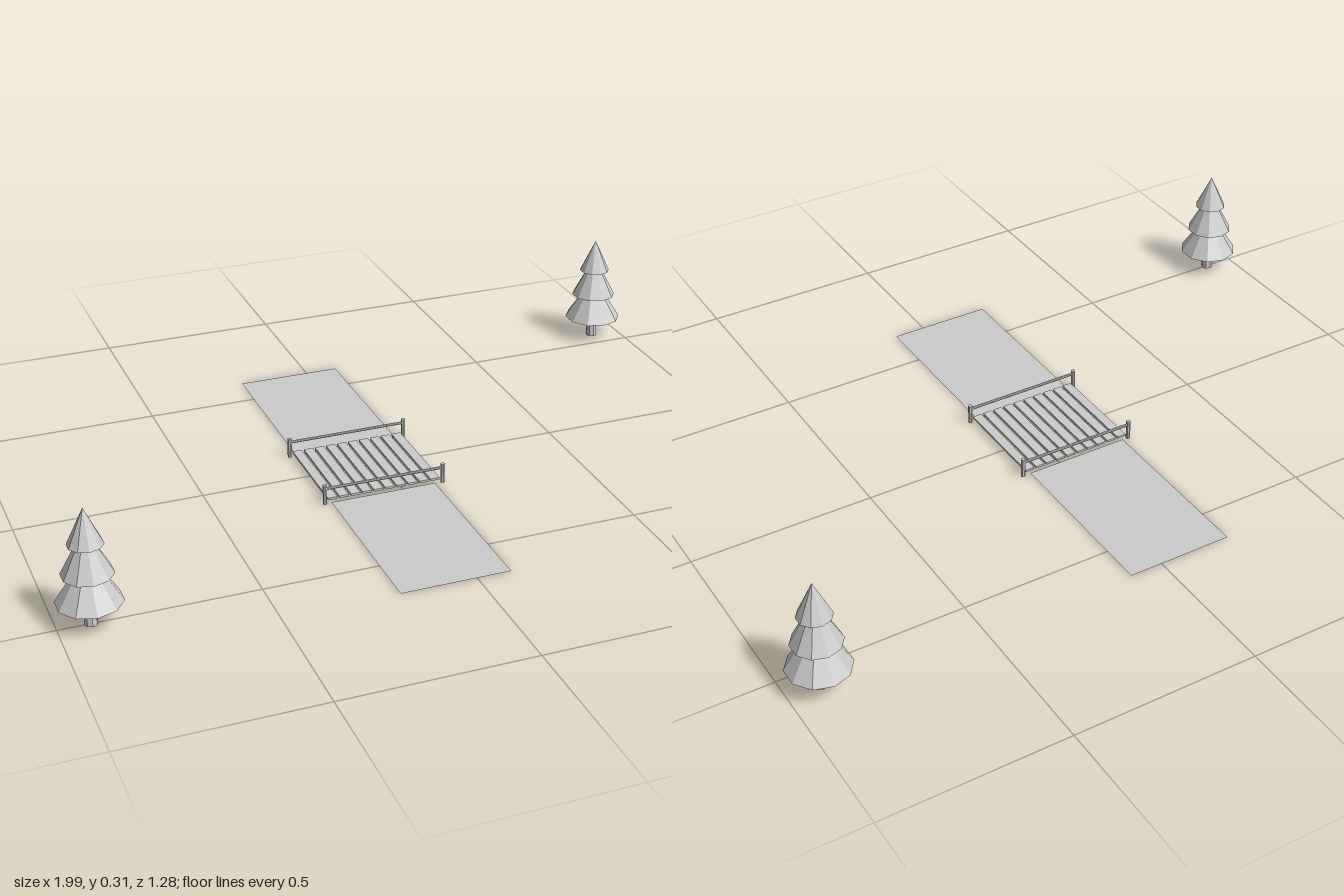
import * as THREE from 'three';

const material = new THREE.MeshStandardMaterial({ color: 0xcccccc, flatShading: true });
const thinMaterial = new THREE.MeshStandardMaterial({ color: 0xcccccc, side: THREE.DoubleSide });

function add(parent, name, geometry, x, y, z, mat = material) {
  const mesh = new THREE.Mesh(geometry, mat);
  mesh.name = name;
  mesh.position.set(x, y, z);
  parent.add(mesh);
  return mesh;
}

// Pine tree: tapered trunk and three stacked cones
function createTree(name, x, z) {
  const tree = new THREE.Group();
  tree.name = name;
  tree.position.set(x, 0, z);
  add(tree, 'trunk', new THREE.CylinderGeometry(0.013, 0.017, 0.07, 8), 0, 0.035, 0);
  const tiers = [[0.082, 0.062, 0.19], [0.064, 0.136, 0.257], [0.044, 0.214, 0.308]];
  for (const [radius, bottom, top] of tiers) {
    add(tree, 'foliage', new THREE.ConeGeometry(radius, top - bottom, 10), 0, (bottom + top) / 2, 0);
  }
  return tree;
}

// Footbridge: planks side by side, corner posts and a rail at each end
function createBridge() {
  const bridge = new THREE.Group();
  bridge.name = 'bridge';
  const left = -0.218, right = 0.112, front = 0.158, back = -0.124;
  const midX = (left + right) / 2, midZ = (front + back) / 2;

  const count = 10, pitch = (right - left - 0.01) / count;
  for (let i = 0; i < count; i++) {
    const x = left + 0.005 + pitch * (i + 0.5);
    add(bridge, 'plank', new THREE.BoxGeometry(pitch * 0.8, 0.006, front - back), x, 0.012, midZ);
  }
  for (const z of [front, back]) {
    for (const x of [left, right]) {
      add(bridge, 'post', new THREE.CylinderGeometry(0.006, 0.006, 0.055, 8), x, 0.0275, z);
    }
    const rail = add(bridge, 'rail', new THREE.CylinderGeometry(0.004, 0.004, right - left, 8), midX, 0.044, z);
    rail.rotation.z = Math.PI / 2;
  }
  return bridge;
}

export function createModel() {
  const model = new THREE.Group();
  model.name = 'bridgeScene';

  // Flat path leading to the bridge from both ends
  for (const [name, z0, z1] of [['frontPath', 0.158, 0.64], ['backPath', -0.61, -0.125]]) {
    const geometry = new THREE.PlaneGeometry(0.29, z1 - z0).rotateX(-Math.PI / 2);
    add(model, name, geometry, -0.055, 0.001, (z0 + z1) / 2, thinMaterial);
  }

  model.add(createBridge());
  model.add(createTree('leftTree', 0.915, -0.563));
  model.add(createTree('rightTree', -0.918, 0.5));
  return model;
}
